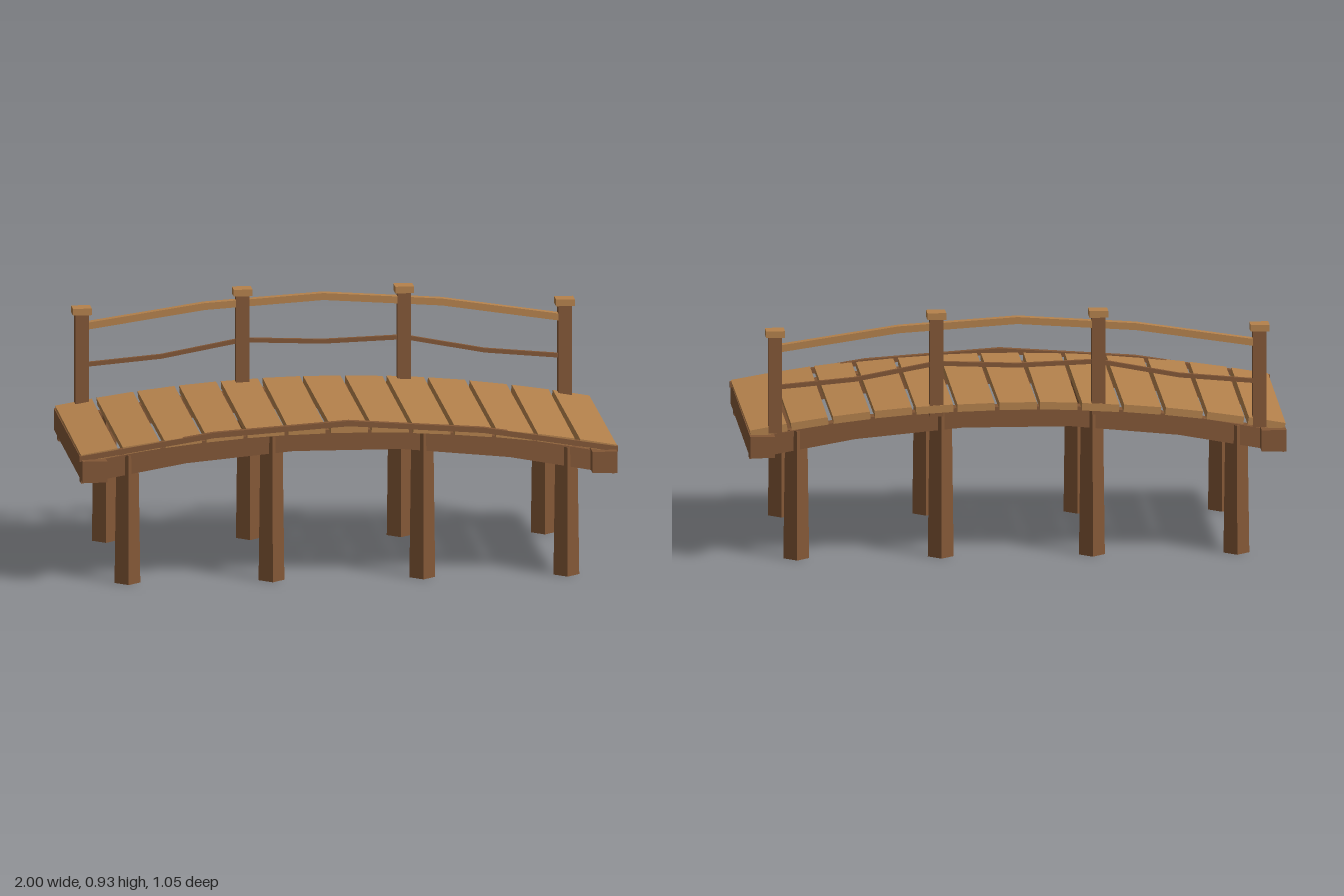
import * as THREE from 'three';

export function createModel() {
  const bridge = new THREE.Group();
  bridge.name = 'footbridge';
  const lightWood = new THREE.MeshStandardMaterial({ color: 0xb5824c });
  lightWood.name = 'lightWood';
  const darkWood = new THREE.MeshStandardMaterial({ color: 0x835736 });
  darkWood.name = 'darkWood';

  function add(name, geometry, material, x = 0, y = 0, z = 0) {
    const mesh = new THREE.Mesh(geometry, material);
    mesh.name = name;
    mesh.position.set(x, y, z);
    bridge.add(mesh);
    return mesh;
  }
  const box = (name, w, h, d, material, x, y, z) =>
    add(name, new THREE.BoxGeometry(w, h, d), material, x, y, z);

  // Bent beam: half of its centre line (x >= 0) is mirrored and extruded in z
  function bentBeam(name, half, height, depth, material, z) {
    const left = half.filter(([x]) => x > 0).reverse().map(([x, y]) => [-x, y]);
    const line = [...left, ...half];
    const outline = [
      ...line.map(([x, y]) => new THREE.Vector2(x, y - height / 2)),
      ...line.reverse().map(([x, y]) => new THREE.Vector2(x, y + height / 2)),
    ];
    const geometry = new THREE.ExtrudeGeometry(new THREE.Shape(outline), { depth, bevelEnabled: false });
    geometry.translate(0, 0, -depth / 2);
    add(name, geometry, material, 0, 0, z);
  }

  // Small repeatable variation for the planks
  let seed = 7;
  const vary = (amount) => {
    seed = (seed * 16807) % 2147483647;
    return (seed / 2147483647 - 0.5) * 2 * amount;
  };

  // Deck planks laid along the arch
  const count = 13, step = 2 / count;
  for (let i = 0; i < count; i++) {
    const x = -1 + step * (i + 0.5);
    const plank = box('plank', 0.138, 0.028, 0.972 + vary(0.008), lightWood, x, 0.576 - 0.095 * x * x, 0);
    plank.rotation.set(vary(0.002), vary(0.004), Math.atan(-0.19 * x));
  }

  // Arched stringers and tapered legs, with the leg corners facing the axes
  for (const z of [-0.414, 0.414]) {
    bentBeam('stringer', [[0.2, 0.527], [0.6, 0.489], [0.99, 0.419]], 0.076, 0.06, darkWood, z);
    for (const [x, height] of [[-0.815, 0.485], [-0.28, 0.55], [0.28, 0.55], [0.815, 0.485]]) {
      const geometry = new THREE.CylinderGeometry(0.041, 0.048, height, 4).toNonIndexed();
      geometry.computeVertexNormals();
      add('leg', geometry, darkWood, x, height / 2, z);
    }
  }

  // Cross beams under the deck and the wide sills at its ends
  for (const side of [-1, 1]) {
    box('crossBeam', 0.045, 0.05, 0.82, darkWood, side * 0.28, 0.508, 0);
    box('endSill', 0.092, 0.08, 1.054, darkWood, side * 0.947, 0.44, 0);
  }

  // Low curb along the front edge
  bentBeam('curb', [[0, 0.597], [0.5, 0.562], [1, 0.482]], 0.02, 0.025, darkWood, 0.477);

  // Railing along the back edge
  const railZ = -0.461;
  for (const [x, bottom, top] of [[-0.897, 0.485, 0.846], [-0.3, 0.54, 0.906], [0.3, 0.54, 0.906], [0.897, 0.485, 0.846]]) {
    box('railingPost', 0.05, top - bottom, 0.05, darkWood, x, (top + bottom) / 2, railZ);
    box('postCap', 0.07, 0.025, 0.07, lightWood, x, top + 0.0125, railZ);
  }
  bentBeam('handrail', [[0, 0.896], [0.44, 0.867], [0.88, 0.801]], 0.026, 0.034, lightWood, railZ);
  bentBeam('middleRail', [[0, 0.725], [0.3, 0.736], [0.6, 0.68], [0.88, 0.655]], 0.016, 0.016, darkWood, railZ);

  return bridge;
}
